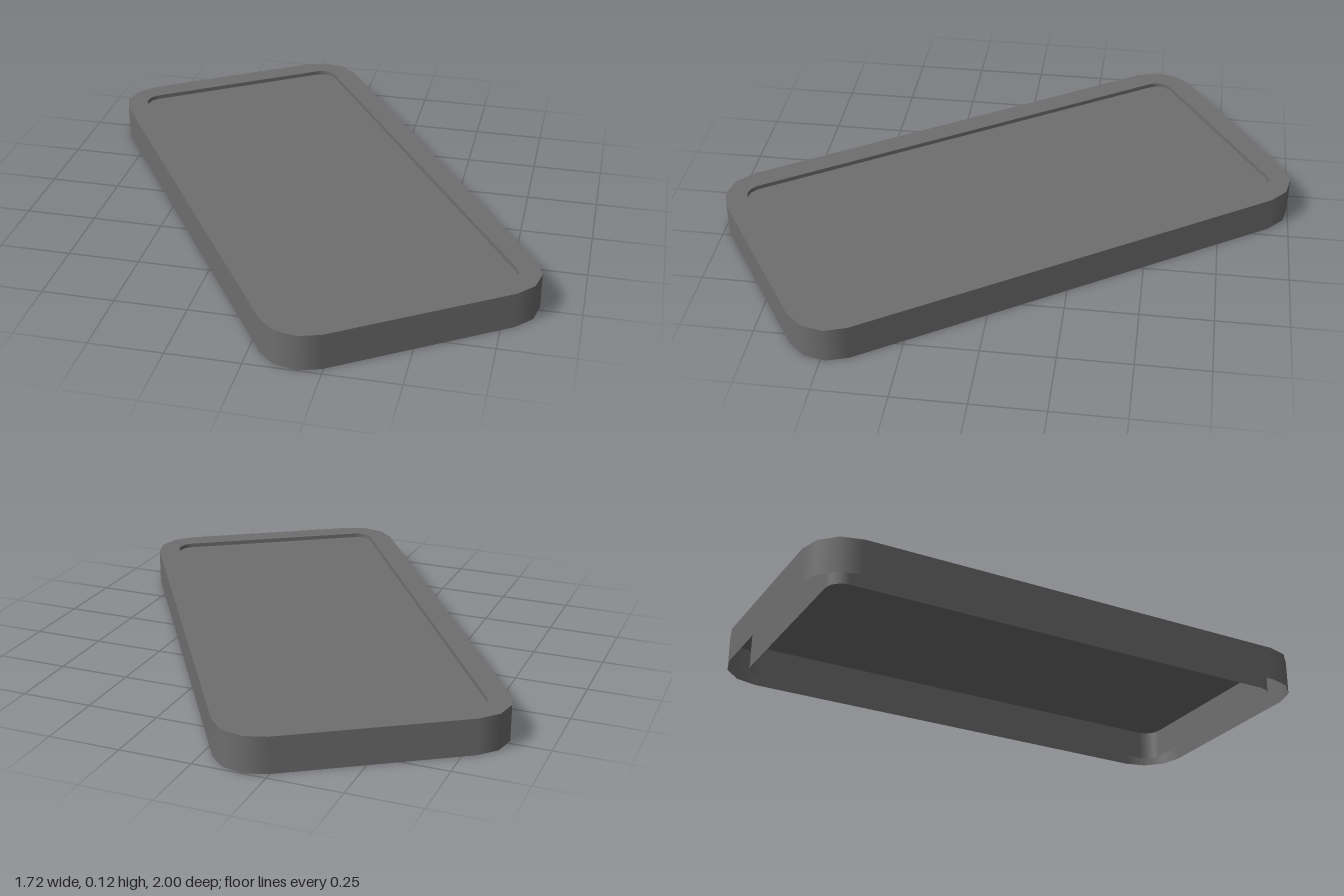
import * as THREE from 'three';

const HEIGHT = 0.125, PANEL_Y = 0.11, HALF_W = 0.477, HALF_L = 0.95, RIM = 0.081;
const CORNER_SEGMENTS = 3;

// Rounded rectangle in plan, as points with outward normals
function outline(halfW, halfL, radius) {
  const points = [];
  const centres = [[1, 1], [-1, 1], [-1, -1], [1, -1]];
  centres.forEach(([sx, sy], corner) => {
    for (let i = 0; i <= CORNER_SEGMENTS; i++) {
      const a = (corner + i / CORNER_SEGMENTS) * Math.PI / 2;
      const nx = Math.cos(a), ny = Math.sin(a);
      points.push({
        x: sx * (halfW - radius) + radius * nx,
        y: sy * (halfL - radius) + radius * ny,
        nx, ny,
      });
    }
  });
  return points;
}

// Upright sheet following the outline, smooth around the corners
function wallGeometry(points, facing) {
  const position = [], normal = [], index = [], n = points.length;
  points.forEach((p, i) => {
    for (const y of [0, HEIGHT]) {
      position.push(p.x, y, -p.y);
      normal.push(facing * p.nx, 0, -facing * p.ny);
    }
    const a = 2 * i, b = 2 * ((i + 1) % n);
    if (facing > 0) index.push(a, b, b + 1, a, b + 1, a + 1);
    else index.push(a, b + 1, b, a, a + 1, b + 1);
  });
  const geometry = new THREE.BufferGeometry();
  geometry.setAttribute('position', new THREE.Float32BufferAttribute(position, 3));
  geometry.setAttribute('normal', new THREE.Float32BufferAttribute(normal, 3));
  geometry.setIndex(index);
  return geometry;
}

// Horizontal sheet at the given height
function sheetGeometry(shape, y) {
  return new THREE.ShapeGeometry(shape).rotateX(-Math.PI / 2).translate(0, y, 0);
}

export function createModel() {
  const group = new THREE.Group();
  group.name = 'tray';
  const material = new THREE.MeshStandardMaterial({ color: 0x6e6e6e, side: THREE.DoubleSide });
  const toShape = (points) => new THREE.Shape(points.map((p) => new THREE.Vector2(p.x, p.y)));
  const add = (name, geometry) => {
    const mesh = new THREE.Mesh(geometry, material);
    mesh.name = name;
    group.add(mesh);
  };

  const outer = outline(HALF_W, HALF_L, 0.15);
  const inner = outline(HALF_W - RIM, HALF_L - RIM, 0.057);

  // Two walls, open underneath, joined by the rim
  add('outerWall', wallGeometry(outer, 1));
  add('innerWall', wallGeometry(inner, -1));
  const rim = toShape(outer);
  rim.holes.push(toShape(inner));
  add('rim', sheetGeometry(rim, HEIGHT));

  // Panel set slightly below the rim
  add('panel', sheetGeometry(toShape(inner), PANEL_Y));

  group.rotation.y = THREE.MathUtils.degToRad(33.2);
  return group;
}
